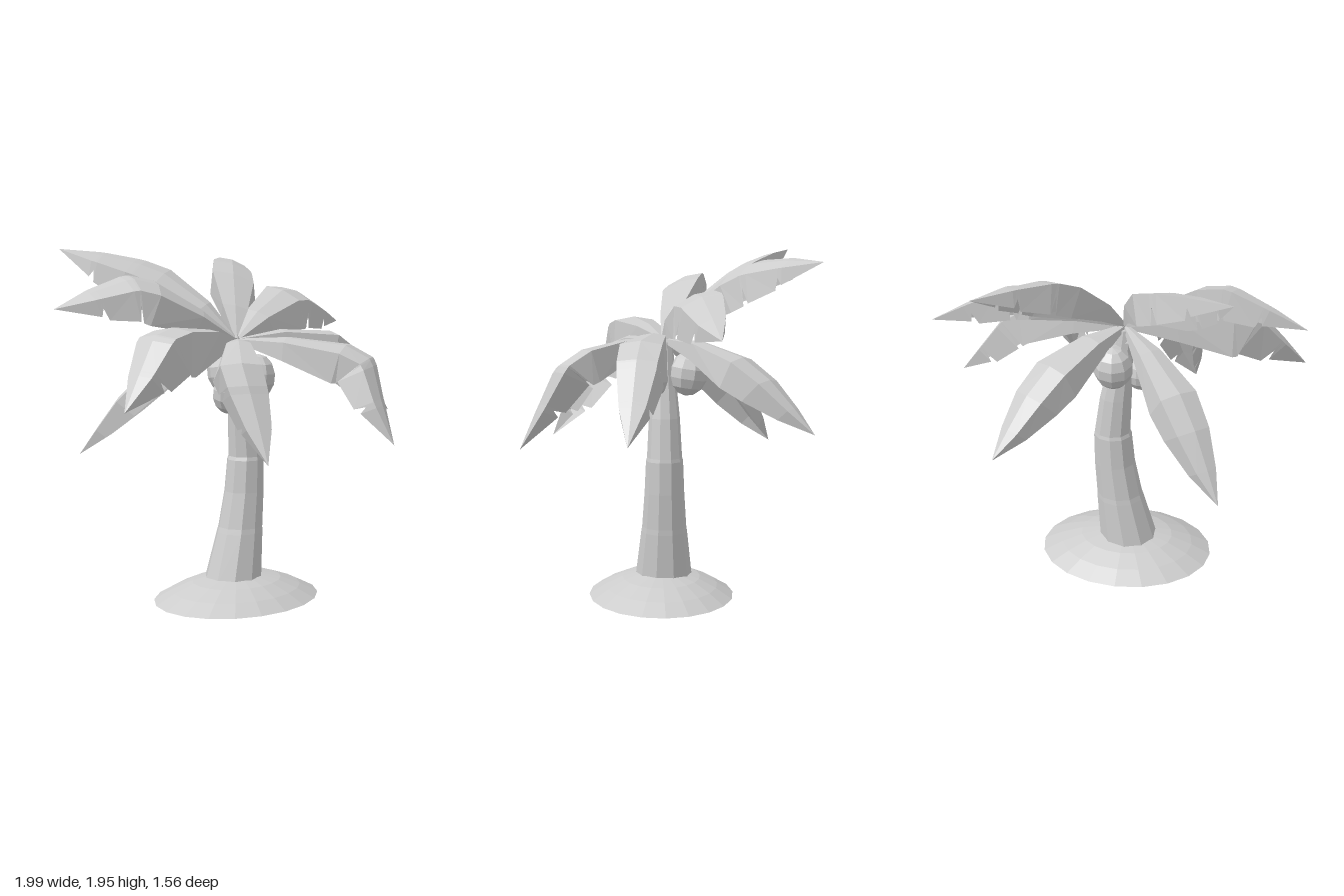
import * as THREE from 'three';

const grey = new THREE.MeshStandardMaterial({ color: 0xcccccc });
grey.name = 'stone grey';
grey.flatShading = true;
grey.side = THREE.DoubleSide;

const V = (p) => new THREE.Vector3(...p);
const CROWN = V([-0.02, 1.46, 0.01]);

// Blade outline: [position along the midrib, share of width, share of flap]; dips are torn notches
const PLAIN = [[0, 0.1, 0.1], [0.22, 0.6, 0.6], [0.48, 1, 1], [0.66, 0.9, 0.9], [0.84, 0.55, 0.5], [1, 0, 0]];
const TORN = [[0, 0.1, 0.1], [0.22, 0.6, 0.6], [0.48, 1, 1], [0.6, 0.95, 1], [0.61, 0.94, 0.4], [0.64, 0.92, 0.95],
  [0.79, 0.66, 0.7], [0.8, 0.64, 0.3], [0.82, 0.6, 0.55], [1, 0, 0]];

// Trough-shaped blade: a nearly flat top strip arching from the crown over a peak to the tip,
// with a flap hanging from each side; tilt raises one side over the other
function leafGeometry({ peak, tip, width, drop, tilt = 0, outline = TORN }) {
  const top = V(peak), end = V(tip);
  const rise = CROWN.clone().lerp(top, 0.45);
  const shoulder = top.clone().lerp(end, 0.5);
  rise.y += 0.04;
  shoulder.y += 0.02;
  const curve = new THREE.CatmullRomCurve3([CROWN, rise, top, shoulder, end], false, 'centripetal');
  const side = new THREE.Vector3(end.z - CROWN.z, 0, CROWN.x - end.x).normalize();
  const pos = [];
  const tri = (...corners) => corners.forEach((p) => pos.push(p.x, p.y, p.z));
  for (const sign of [1, -1]) {
    const rows = outline.map(([t, wide, deep]) => {
      const rib = curve.getPointAt(t);
      const under = new THREE.Vector3().crossVectors(curve.getTangentAt(t), side);
      if (under.y > 0) under.negate();
      const fold = rib.clone()
        .addScaledVector(side, sign * width * wide)
        .addScaledVector(under, (0.02 - sign * tilt) * wide);
      const hem = fold.clone()
        .addScaledVector(side, sign * 0.015 * deep)
        .addScaledVector(under, drop * deep);
      return [rib, fold, hem];
    });
    for (let i = 0; i + 1 < rows.length; i++) {
      for (const k of [0, 1]) {
        const a = rows[i][k], b = rows[i][k + 1], c = rows[i + 1][k], d = rows[i + 1][k + 1];
        if (sign < 0) { tri(a, b, d); tri(a, d, c); }
        else { tri(a, d, b); tri(a, c, d); }
      }
    }
  }
  const g = new THREE.BufferGeometry();
  g.setAttribute('position', new THREE.Float32BufferAttribute(pos, 3));
  g.computeVertexNormals();
  return g;
}

const LEAVES = {
  backRightUpperLeaf: { peak: [-0.24, 1.82, -0.38], tip: [-0.66, 1.95, -0.78], width: 0.12, drop: 0.16, tilt: -0.04 },
  backLeftUpperLeaf: { peak: [0.29, 1.85, -0.39], tip: [0.6, 1.88, -0.77], width: 0.12, drop: 0.16, tilt: 0.04 },
  leftUpperLeaf: { peak: [0.5, 1.72, -0.14], tip: [0.99, 1.51, -0.22], width: 0.11, drop: 0.17, tilt: 0.04 },
  leftLowerLeaf: { peak: [0.6, 1.47, 0.16], tip: [0.98, 1, 0.23], width: 0.11, drop: 0.18 },
  frontLeftLeaf: { peak: [0.45, 1.38, 0.54], tip: [0.43, 0.91, 0.78], width: 0.1, drop: 0.17, tilt: 0.02 },
  frontRightLeaf: { peak: [-0.31, 1.39, 0.38], tip: [-0.35, 0.87, 0.64], width: 0.11, drop: 0.15 },
  rightLowerLeaf: { peak: [-0.69, 1.53, 0.19], tip: [-1, 1.16, 0.32], width: 0.12, drop: 0.23 },
  rightUpperLeaf: { peak: [-0.56, 1.79, -0.14], tip: [-1, 1.64, -0.3], width: 0.11, drop: 0.17, tilt: -0.04 },
  backRightLowerLeaf: { peak: [-0.4, 1.24, -0.41], tip: [-0.62, 0.79, -0.67], width: 0.11, drop: 0.14, outline: PLAIN },
  backLeftLowerLeaf: { peak: [0.34, 1.35, -0.44], tip: [0.54, 0.99, -0.75], width: 0.11, drop: 0.15, outline: PLAIN },
};

// Trunk rings from the top down: y, centre x, radius
const RINGS = [[1.44, -0.02, 0.05], [1.2, 0.005, 0.072], [1.02, 0.03, 0.09], [0.8, 0.05, 0.102],
  [0.78, 0.048, 0.108], [0.6, 0.037, 0.116], [0.4, 0.01, 0.13], [0.37, 0.005, 0.135], [0.1, -0.045, 0.167]];

// Bend and step a cylinder through the rings
function trunkGeometry() {
  const last = RINGS.length - 1;
  const g = new THREE.CylinderGeometry(1, 1, 1, 10, last);
  const p = g.attributes.position;
  for (let i = 0; i < p.count; i++) {
    const [y, cx, r] = RINGS[Math.round((0.5 - p.getY(i)) * last)];
    p.setXYZ(i, cx + p.getX(i) * r, y, p.getZ(i) * r * 0.96 + 0.005);
  }
  g.computeVertexNormals();
  return g;
}

export function createModel() {
  const model = new THREE.Group();
  model.name = 'palmTree';
  const add = (name, geometry) => {
    const mesh = new THREE.Mesh(geometry, grey);
    mesh.name = name;
    model.add(mesh);
    return mesh;
  };

  // Oval sand mound with a flat underside
  const profile = [[0, 0], [0.5, 0], [0.39, 0.055], [0.27, 0.1], [0.15, 0.125], [0, 0.135]];
  const mound = add('mound', new THREE.LatheGeometry(profile.map(([r, y]) => new THREE.Vector2(r, y)), 20));
  mound.scale.z = 0.82;
  mound.position.set(-0.03, 0, 0.02);

  add('trunk', trunkGeometry());

  // Coconuts under the crown
  const nuts = [[0.05, 1.25, 0.09, 0.112], [-0.11, 1.165, 0.06, 0.1], [0.02, 1.265, -0.13, 0.11]];
  nuts.forEach(([x, y, z, r], i) => {
    const nut = add('coconut' + (i + 1), new THREE.SphereGeometry(r, 9, 7));
    nut.scale.y = 1.14;
    nut.position.set(x, y, z);
    nut.rotation.set(z, i, -x);
  });

  // Bud where the leaves meet
  add('crownBud', new THREE.ConeGeometry(0.06, 0.12, 7)).position.set(-0.02, 1.43, 0.01);

  for (const [name, leaf] of Object.entries(LEAVES)) add(name, leafGeometry(leaf));
  return model;
}
